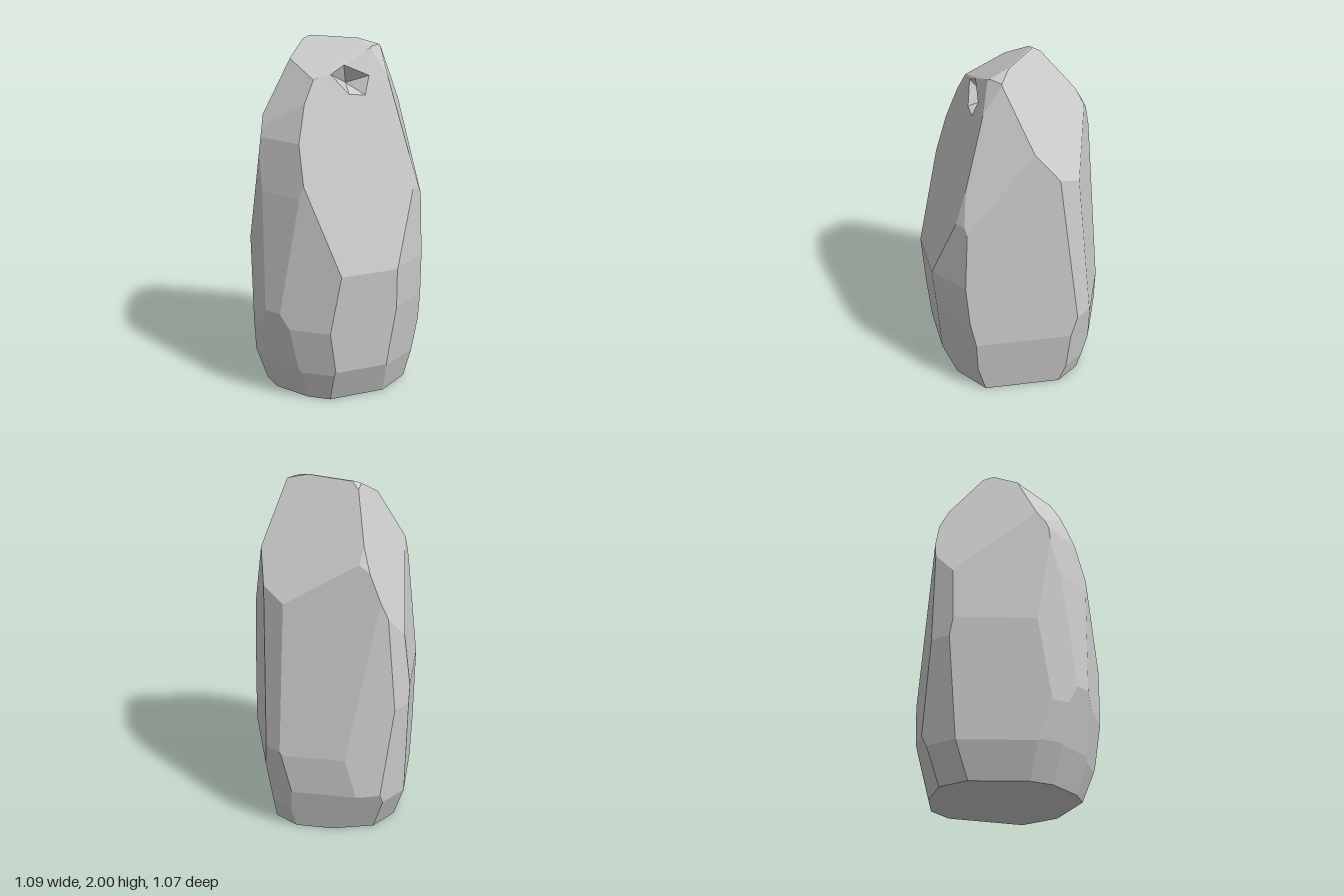
import * as THREE from 'three';
import { ConvexGeometry } from 'three/addons/geometries/ConvexGeometry.js';

// Cut directions around the rock (degrees from +x towards +z), each with its
// flat cuts given as [distance from the axis at ground level, change per unit of height]
const CUTS = [
  { angle: 0, cuts: [[0.42, 0.3], [0.45, 0.14], [0.5, 0.05], [0.58, -0.05], [0.82, -0.25], [0.96, -0.35], [1.32, -0.55], [7.13, -3.5]] },
  { angle: 34, cuts: [[0.4, 0.41], [0.465, 0.085], [0.765, -0.295]] },
  { angle: 72, cuts: [[0.42, 0.34], [0.45, 0.17], [0.54, -0.03]] },
  { angle: 75, cuts: [[3.67, -1.85]] },
  { angle: 93, cuts: [[0.4, 0.36], [0.43, 0.21], [0.59, -0.088], [0.665, -0.15], [1.025, -0.39]] },
  { angle: 101, cuts: [[1.4, -0.62]] },
  { angle: 120, cuts: [[0.4, 0.36], [0.44, 0.17], [0.53, -0.04]] },
  { angle: 145, cuts: [[0.38, 0.3], [0.435, 0.03], [0.565, -0.115]] },
  { angle: 160, cuts: [[0.98, -0.41]] },
  { angle: 180, cuts: [[0.42, 0.43], [0.495, 0.065], [0.61, -0.08], [1.15, -0.46], [1.507, -0.667], [3.14, -1.5]] },
  { angle: -140, cuts: [[0.4, 0.4], [0.515, -0.04], [1.25, -0.52]] },
  { angle: -123, cuts: [[0.4, 0.25], [0.455, 0.04], [0.525, -0.1]] },
  { angle: -104, cuts: [[1.333, -0.647]] },
  { angle: -90, cuts: [[0.42, 0.32], [0.44, 0.16], [0.572, -0.094]] },
  { angle: -51, cuts: [[0.375, 0.16], [0.445, -0.02]] },
  { angle: -30, cuts: [[0.86, -0.3]] },
];

function cutPlane(angle, distance, slope) {
  const a = THREE.MathUtils.degToRad(angle);
  return new THREE.Plane(new THREE.Vector3(Math.cos(a), -slope, Math.sin(a)), -distance).normalize();
}

// Corners of the solid lying behind every plane
function solidCorners(planes) {
  const corners = [];
  const cross = new THREE.Vector3();
  planes.forEach((p, i) => planes.slice(i + 1).forEach((q, j) => planes.slice(i + j + 2).forEach((r) => {
    const det = p.normal.dot(cross.crossVectors(q.normal, r.normal));
    if (Math.abs(det) < 1e-5) return;
    const corner = cross.clone().multiplyScalar(-p.constant)
      .addScaledVector(cross.crossVectors(r.normal, p.normal), -q.constant)
      .addScaledVector(cross.crossVectors(p.normal, q.normal), -r.constant)
      .divideScalar(det);
    const inside = planes.every((s) => s.distanceToPoint(corner) < 1e-6);
    if (inside && !corners.some((c) => c.distanceTo(corner) < 1e-4)) corners.push(corner);
  })));
  return corners;
}

export function createModel() {
  // Boulder: all cuts plus the flat base and the short top ridge
  const planes = CUTS.flatMap(({ angle, cuts }) => cuts.map(([d, s]) => cutPlane(angle, d, s)));
  planes.push(new THREE.Plane(new THREE.Vector3(0, -1, 0), 0), new THREE.Plane(new THREE.Vector3(0, 1, 0), -2));

  // Rim of the small chipped hollow, very slightly proud of the large sloping face
  const face = cutPlane(34, 0.765, -0.295);
  const rim = [[0.13, 1.84], [0.21, 1.73], [0.265, 1.72], [0.26, 1.82], [0.165, 1.885]].map(([x, y]) => {
    const z = -(face.constant + face.normal.x * x + face.normal.y * y) / face.normal.z;
    return new THREE.Vector3(x, y, z).addScaledVector(face.normal, 0.005);
  });

  // Hull triangles, leaving the hollow's mouth open
  const hull = new ConvexGeometry([...solidCorners(planes), ...rim]).getAttribute('position');
  const isRim = (v) => rim.some((r) => r.distanceTo(v) < 1e-4);
  const shell = [];
  for (let i = 0; i < hull.count; i += 3) {
    const triangle = [0, 1, 2].map((k) => new THREE.Vector3().fromBufferAttribute(hull, i + k));
    if (!triangle.every(isRim)) shell.push(...triangle);
  }

  // Hollow walls run from the rim to one deep point
  const deep = rim.reduce((sum, p) => sum.add(p), new THREE.Vector3())
    .divideScalar(rim.length).addScaledVector(face.normal, -0.09);
  const walls = rim.flatMap((p, i) => [p, rim[(i + 1) % rim.length], deep]);

  const group = new THREE.Group();
  group.name = 'rock';
  const add = (name, corners, side) => {
    const geometry = new THREE.BufferGeometry().setFromPoints(corners);
    geometry.computeVertexNormals();
    const material = new THREE.MeshStandardMaterial({ color: 0xcccccc, flatShading: true, side });
    const mesh = new THREE.Mesh(geometry, material);
    mesh.name = name;
    group.add(mesh);
  };
  add('boulder', shell, THREE.FrontSide);
  add('chippedHollow', walls, THREE.DoubleSide);
  return group;
}
